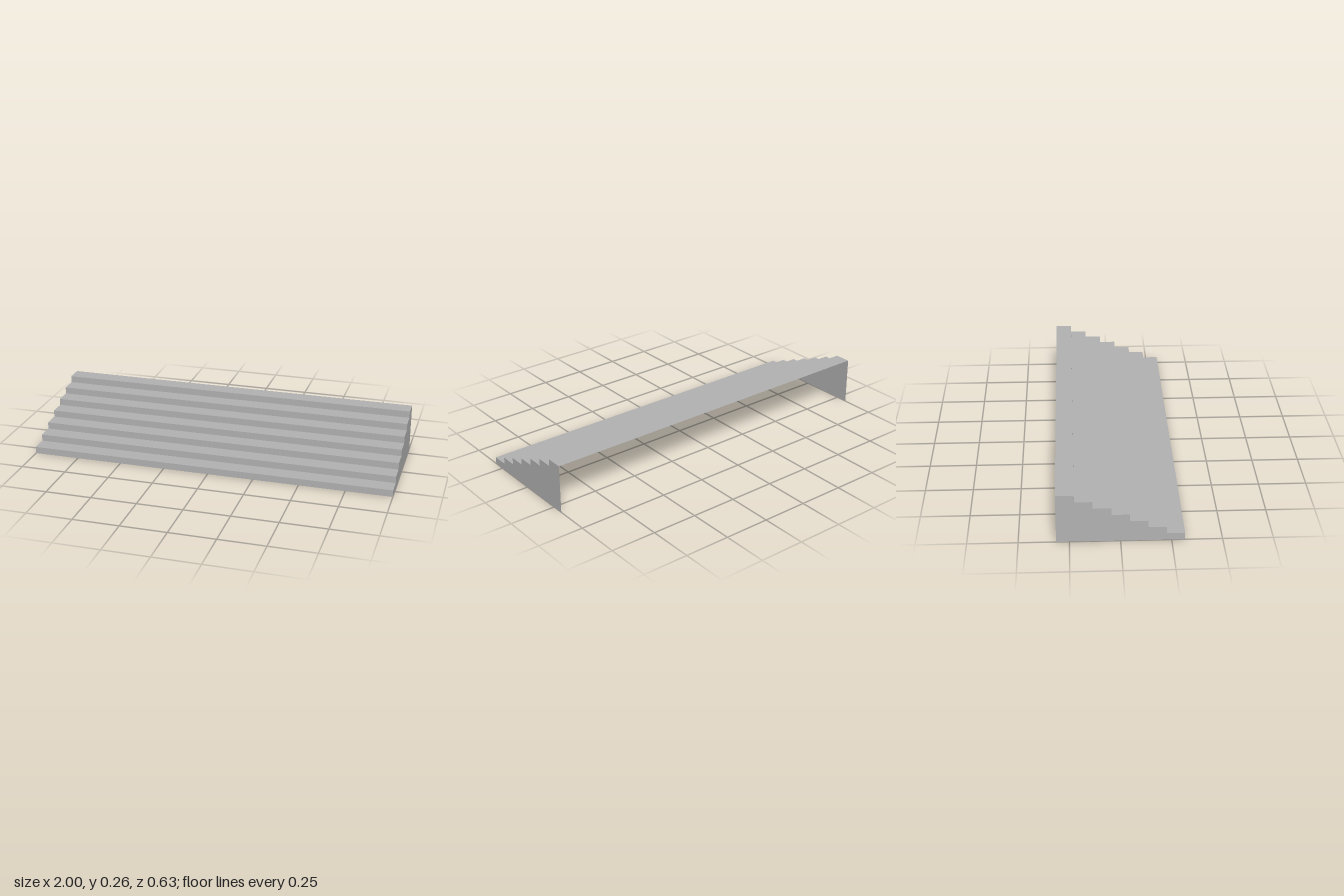
import * as THREE from 'three';

const STEPS = 7, RISE = 0.0375, RUN = 0.09, FRONT = 0.315, WIDTH = 2;

export function createModel() {
  const model = new THREE.Group();
  model.name = 'staircase';
  const grey = new THREE.MeshStandardMaterial({ color: 0xb2b2b2, side: THREE.DoubleSide });
  grey.name = 'concreteGrey';

  const add = (name, geometry, x, y, z) => {
    const mesh = new THREE.Mesh(geometry, grey);
    mesh.name = name;
    mesh.position.set(x, y, z);
    model.add(mesh);
  };

  // Thin risers and treads, open underneath and at the back
  const riser = new THREE.PlaneGeometry(WIDTH, RISE);
  const tread = new THREE.PlaneGeometry(WIDTH, RUN).rotateX(-Math.PI / 2);
  for (let i = 0; i < STEPS; i++) {
    const z = FRONT - i * RUN;
    add(`riser${i + 1}`, riser, 0, (i + 0.5) * RISE, z);
    add(`tread${i + 1}`, tread, 0, (i + 1) * RISE, z - RUN / 2);
  }

  // Stepped side panels, drawn with -z running along the shape's x axis
  const profile = new THREE.Shape();
  profile.moveTo(FRONT, 0);
  for (let i = STEPS; i > 0; i--) {
    profile.lineTo(i * RUN - FRONT, i * RISE);
    profile.lineTo((i - 1) * RUN - FRONT, i * RISE);
  }
  profile.lineTo(-FRONT, 0);
  profile.closePath();
  const panel = new THREE.ShapeGeometry(profile).rotateY(Math.PI / 2);
  add('leftSidePanel', panel, WIDTH / 2, 0, 0);
  add('rightSidePanel', panel, -WIDTH / 2, 0, 0);

  return model;
}
